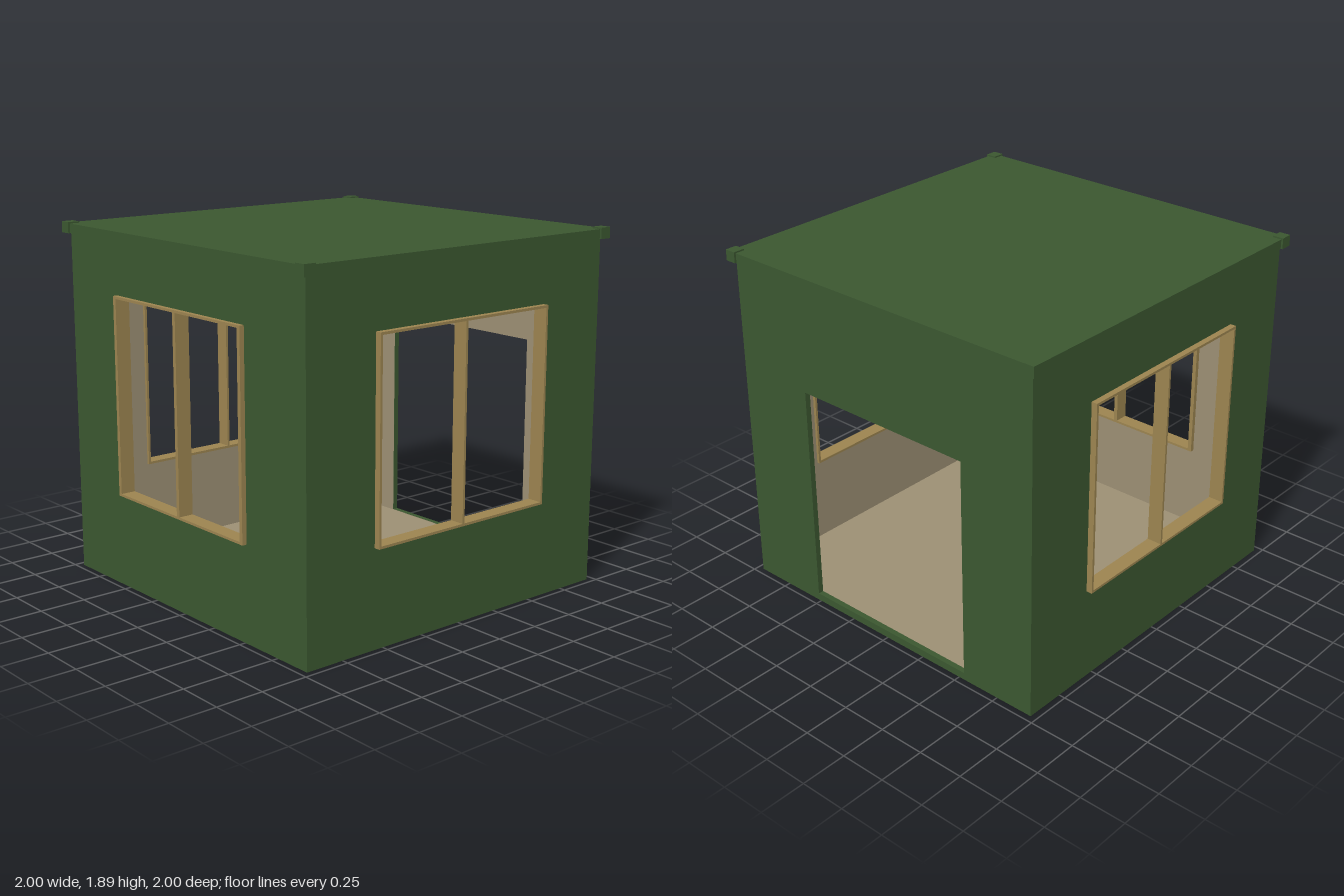
import * as THREE from 'three';

const green = new THREE.MeshStandardMaterial({ color: 0x3b5730 });
const tan = new THREE.MeshStandardMaterial({ color: 0x9c8f74 });
const wood = new THREE.MeshStandardMaterial({ color: 0x9c8450 });

const HALF = 0.965;   // outer half width of the walls
const T = 0.03;       // wall thickness
const FLOOR = 0.038, CEILING = 1.8, WALL_TOP = 1.83;

function box(name, material, [x0, x1], [y0, y1], [z0, z1]) {
  const mesh = new THREE.Mesh(new THREE.BoxGeometry(x1 - x0, y1 - y0, z1 - z0), material);
  mesh.position.set((x0 + x1) / 2, (y0 + y1) / 2, (z0 + z1) / 2);
  mesh.name = name;
  return mesh;
}

// Rectangle with one rectangular opening
function panelShape(half, y0, y1, o) {
  const s = new THREE.Shape([
    new THREE.Vector2(-half, y0), new THREE.Vector2(half, y0),
    new THREE.Vector2(half, y1), new THREE.Vector2(-half, y1)]);
  s.holes.push(new THREE.Path([
    new THREE.Vector2(o.u0, o.y0), new THREE.Vector2(o.u0, o.y1),
    new THREE.Vector2(o.u1, o.y1), new THREE.Vector2(o.u1, o.y0)]));
  return s;
}

// Timber frame with a central mullion, lining an opening
function windowFrame(o) {
  const g = new THREE.Group();
  g.name = 'windowFrame';
  const { u0, u1, y0, y1, jamb, out, mid } = o;
  const rail = 0.013, z = [out - 0.08, out], inner = [y0 + rail, y1 - rail];
  g.add(
    box('sill', wood, [u0, u1], [y0, y0 + rail], z),
    box('head', wood, [u0, u1], [y1 - rail, y1], z),
    box('jamb', wood, [u0, u0 + jamb], inner, z),
    box('jamb', wood, [u1 - jamb, u1], inner, z),
    box('mullion', wood, [mid - jamb / 2, mid + jamb / 2], inner, z));
  return g;
}

// Wall built facing +z, then turned into place; the lining faces the room
function wall(name, angle, half, o) {
  const g = new THREE.Group();
  g.name = name;
  const outer = new THREE.Mesh(new THREE.ExtrudeGeometry(
    panelShape(half, 0, WALL_TOP, o), { depth: T, bevelEnabled: false }), green);
  outer.position.z = HALF - T;
  outer.name = 'outerWall';

  // Mirrored opening because the lining is turned to face inwards
  const lining = new THREE.Mesh(new THREE.ShapeGeometry(
    panelShape(HALF - T, FLOOR, CEILING, { ...o, u0: -o.u1, u1: -o.u0 })), tan);
  lining.rotation.y = Math.PI;
  lining.position.z = HALF - T - 0.002;
  lining.name = 'wallLining';
  g.add(outer, lining);
  if (o.jamb) g.add(windowFrame(o));
  g.rotation.y = angle;
  return g;
}

export function createModel() {
  const model = new THREE.Group();
  model.name = 'cabin';
  const In = HALF - T;

  // Walls: windows on three sides, doorway on the fourth
  const win = { u0: -0.555, u1: 0.555, y0: 0.508, y1: 1.535, jamb: 0.013, out: 0.997 };
  const sideWin = { u0: -0.54, u1: 0.52, y0: 0.5, y1: 1.55, jamb: 0.022, out: 0.99, mid: -0.007 };
  const door = { u0: -0.515, u1: 0.533, y0: 0.04, y1: 1.24 };
  model.add(
    wall('frontWall', 0, HALF, { ...win, mid: -0.006 }),
    wall('backWall', Math.PI, HALF, { ...win, mid: 0.006 }),
    wall('doorWall', Math.PI / 2, In, door),
    wall('sideWall', -Math.PI / 2, In, sideWin));

  // Floor and ceiling
  model.add(
    box('base', green, [-In, In], [0, 0.03], [-In, In]),
    box('floor', tan, [-In, In], [0.03, FLOOR], [-In, In]),
    box('ceiling', tan, [-In, In], [CEILING, WALL_TOP], [-In, In]));

  // Flat roof with a small block on each corner
  model.add(box('roof', green, [-0.988, 0.988], [WALL_TOP, 1.878], [-0.988, 0.988]));
  for (const sx of [-1, 1]) for (const sz of [-1, 1]) {
    const block = box('roofCorner', green, [-0.0325, 0.0325], [1.828, 1.886], [-0.0305, 0.0305]);
    block.position.x = sx * 0.9665;
    block.position.z = sz * 0.9675;
    model.add(block);
  }
  return model;
}
